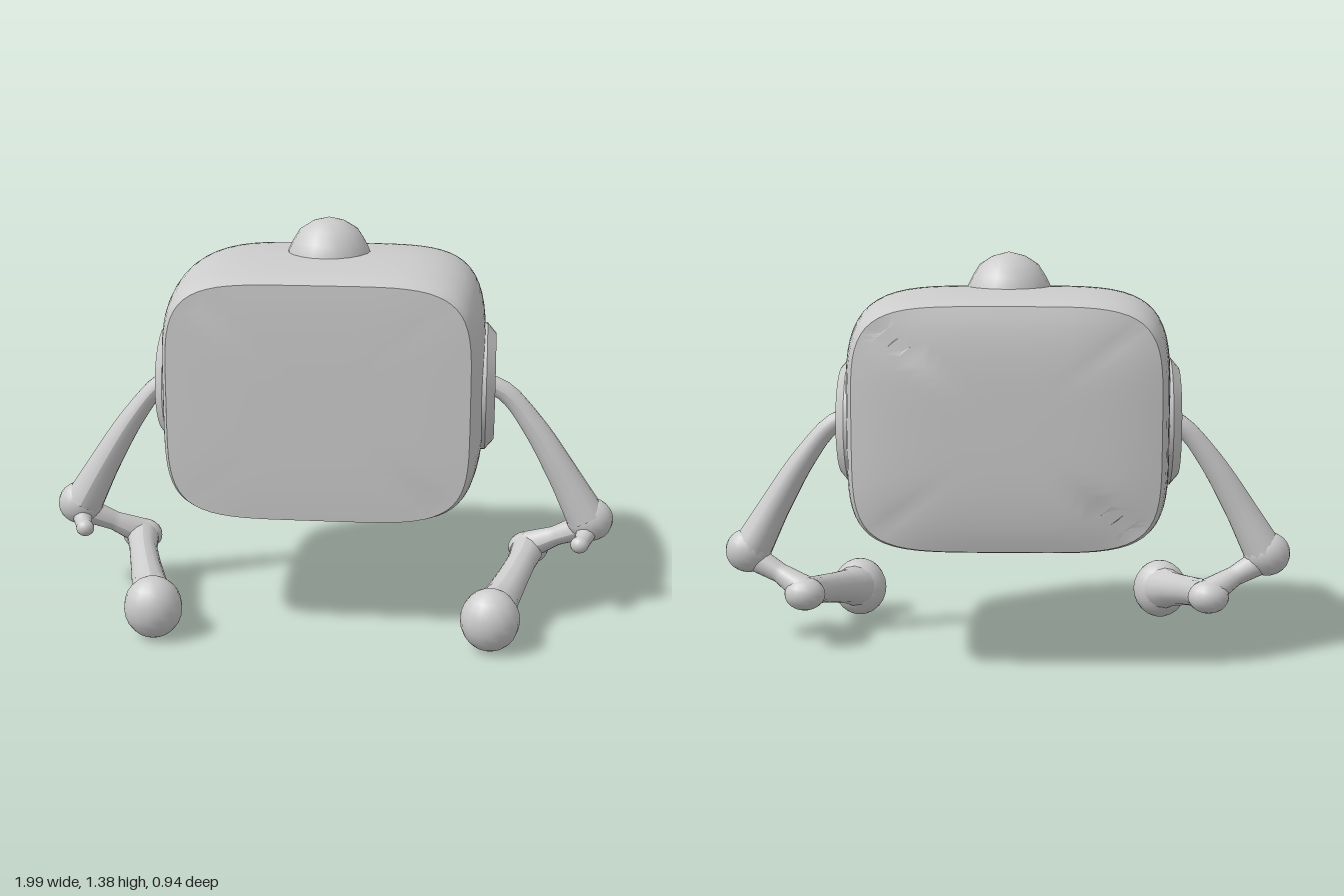
import * as THREE from 'three';
import { mergeVertices, toCreasedNormals } from 'three/addons/utils/BufferGeometryUtils.js';

const material = new THREE.MeshStandardMaterial({ color: 0xcccccc });

function add(parent, name, geometry, x = 0, y = 0, z = 0) {
  const mesh = new THREE.Mesh(geometry, material);
  mesh.name = name;
  mesh.position.set(x, y, z);
  parent.add(mesh);
  return mesh;
}

// Box with rounded front outline, bulging sides, crowned top and domed back
function bodyGeometry() {
  let g = new THREE.BoxGeometry(2, 2, 2, 24, 24, 24);
  g.deleteAttribute('normal');
  g.deleteAttribute('uv');
  g = mergeVertices(g);
  const p = g.attributes.position;
  const n = 4.8;
  for (let i = 0; i < p.count; i++) {
    const u = p.getX(i), v = p.getY(i), w = p.getZ(i);
    const m = Math.max(Math.abs(u), Math.abs(v));
    const len = Math.pow(Math.abs(u) ** n + Math.abs(v) ** n, 1 / n) || 1;
    const s = (m / len) * (1 - 0.03 * Math.abs(w) ** 14);
    const crown = 1 - w * w;
    const halfX = 0.515 + 0.03 * crown;
    const halfY = 0.41 + (v > 0 ? 0.035 * crown : 0);
    const dome = (1 - u ** 4) * (1 - v ** 4) * (w < 0 ? 0.03 : 0.006);
    p.setXYZ(i, u * s * halfX, v * s * halfY, w * (0.392 + dome * Math.abs(w) ** 3));
  }
  return toCreasedNormals(g, 0.6);
}

function lathe(profile, segments) {
  return toCreasedNormals(
    new THREE.LatheGeometry(profile.map(([r, y]) => new THREE.Vector2(r, y)), segments), 0.7);
}

// Tube along a smooth path whose radius follows the listed values
function limb(points, radii) {
  const curve = new THREE.CatmullRomCurve3(points.map((q) => new THREE.Vector3(...q)));
  const rings = 16, sides = 14;
  const g = new THREE.TubeGeometry(curve, rings, 1, sides);
  const p = g.attributes.position, v = new THREE.Vector3();
  for (let i = 0; i <= rings; i++) {
    const c = curve.getPointAt(i / rings);
    const t = (i / rings) * (radii.length - 1);
    const k = Math.min(Math.floor(t), radii.length - 2);
    const r = THREE.MathUtils.lerp(radii[k], radii[k + 1], t - k);
    for (let j = 0; j <= sides; j++) {
      const id = i * (sides + 1) + j;
      v.fromBufferAttribute(p, id).sub(c).multiplyScalar(r).add(c);
      p.setXYZ(id, v.x, v.y, v.z);
    }
  }
  g.computeVertexNormals();
  return g;
}

function ball(rx, ry, rz) {
  return new THREE.SphereGeometry(1, 16, 12).scale(rx, ry, rz);
}

function createArm(side) {
  const arm = new THREE.Group();
  arm.name = side > 0 ? 'leftArm' : 'rightArm';
  const at = (x, y, z) => [x * side, y, z];

  // Shallow shoulder plate with a raised rim
  const plate = lathe([[0.225, -0.06], [0.22, 0.015], [0.185, 0.045], [0.165, 0.045], [0.1, 0.035], [0, 0.03]], 28);
  plate.rotateZ(-side * Math.PI / 2);
  add(arm, 'shoulderPlate', plate, side * 0.535 - 0.012, 0.81, -0.04);

  // Upper arm and elbow
  add(arm, 'upperArm', limb(
    [at(0.53, 0.83, -0.025), at(0.61, 0.79, -0.025), at(0.71, 0.67, -0.02), at(0.81, 0.51, -0.015), at(0.9, 0.35, -0.015)],
    [0.032, 0.036, 0.046, 0.056, 0.07]));
  add(arm, 'elbow', ball(0.082, 0.078, 0.07), ...at(0.913, 0.34, -0.018));
  add(arm, 'elbowPeg', limb([at(0.9, 0.3, 0.02), at(0.885, 0.285, 0.06), at(0.875, 0.28, 0.085)], [0.035, 0.03, 0.028]));
  add(arm, 'elbowPegTip', ball(0.032, 0.03, 0.028), ...at(0.875, 0.28, 0.083));

  // Short link running inward and back to the forearm joint
  add(arm, 'elbowLink', limb([at(0.89, 0.31, -0.02), at(0.8, 0.265, -0.045), at(0.71, 0.215, -0.08)], [0.045, 0.035, 0.05]));
  add(arm, 'forearmJoint', ball(0.072, 0.058, 0.06), ...at(0.705, 0.2, -0.088));

  // Forearm reaching forward to the round hand
  add(arm, 'forearm', limb(
    [at(0.705, 0.2, -0.09), at(0.675, 0.185, 0.04), at(0.62, 0.15, 0.22), at(0.57, 0.12, 0.37)],
    [0.06, 0.05, 0.054, 0.062, 0.085]));
  add(arm, 'hand', ball(0.1, 0.108, 0.09), ...at(0.57, 0.114, 0.38));
  return arm;
}

export function createModel() {
  const model = new THREE.Group();
  model.name = 'robot';
  add(model, 'body', bodyGeometry(), -0.012, 0.828, -0.045);
  add(model, 'topKnob', lathe(
    [[0.15, -0.04], [0.14, 0.01], [0.125, 0.04], [0.1, 0.08], [0.055, 0.108], [0, 0.122]], 20), -0.01, 1.268, -0.045);
  model.add(createArm(1), createArm(-1));
  return model;
}
